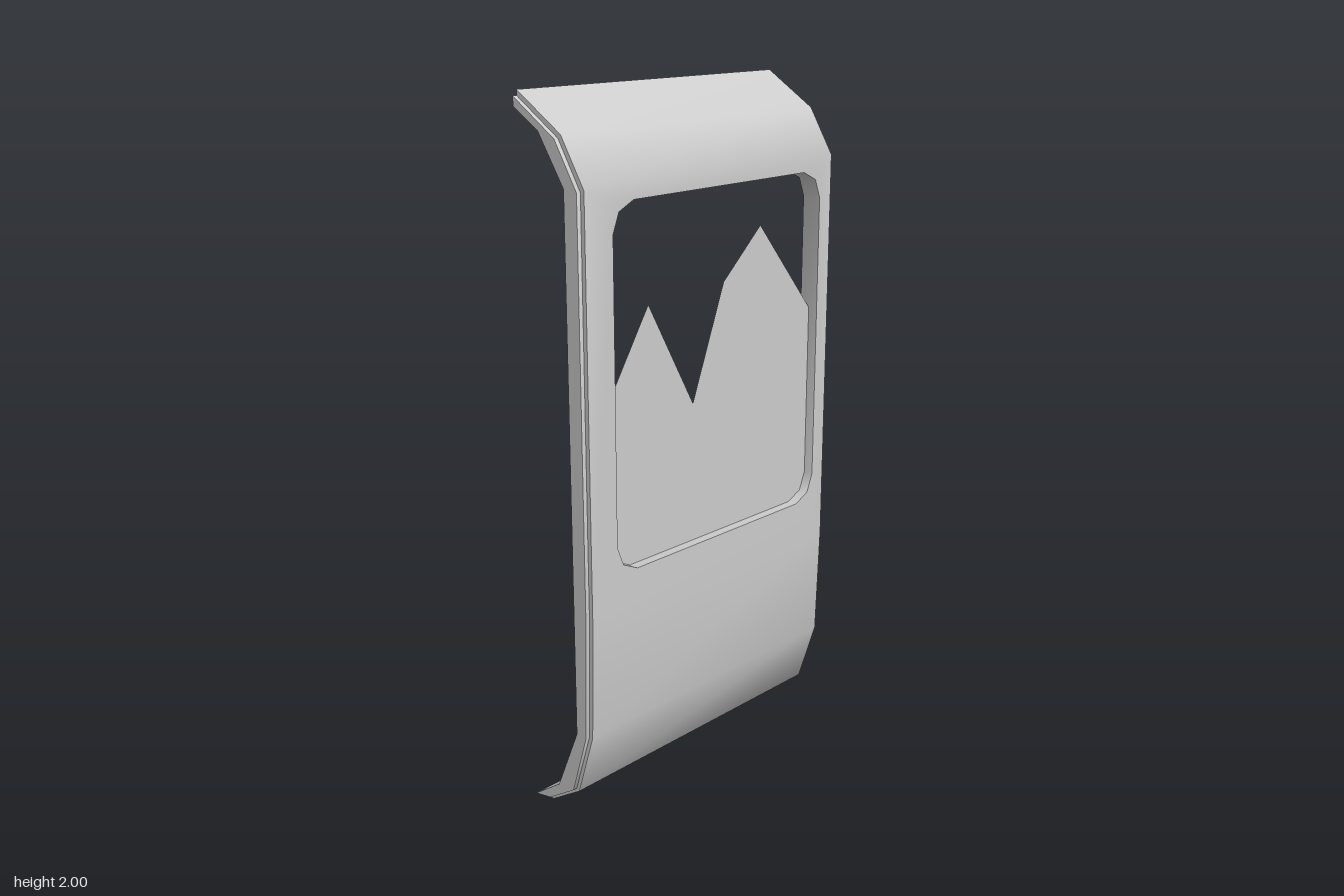
import * as THREE from 'three';
import { mergeGeometries, toCreasedNormals } from 'three/addons/utils/BufferGeometryUtils.js';

const LEFT = 0.5, RIGHT = -0.5, LAP = -0.487;

const polygon = (points) => new THREE.Shape(points.map(([x, y]) => new THREE.Vector2(x, y)));

// Extrude a side profile, given as [z, y] points, between two x positions
function sweepAcross(profile, x0, x1) {
  const shape = polygon(profile.map(([z, y]) => [-z, y]));
  const geo = new THREE.ExtrudeGeometry(shape, { depth: x1 - x0, bevelEnabled: false });
  return geo.rotateY(Math.PI / 2).translate(x0, 0, 0);
}

// Side profiles of the curved ends, front face first
const topFront = [[0.12, 1.77], [0.04, 1.9], [-0.12, 2]];
const topBack = [[-0.12, 1.97], [0.02, 1.905], [0.06, 1.77]];
const bottomFront = [[-0.06, 0], [0.05, 0.07], [0.11, 0.26], [0.12, 0.6]];
const bottomBack = [[0.06, 0.6], [0.06, 0.26], [-0.02, 0.07], [-0.12, 0]];

// Window opening with two-step chamfered corners
const win = { x0: -0.39, x1: 0.45, y0: 0.72, y1: 1.73 };
const cornerSteps = [[0, 0.08], [0.022, 0.025], [0.075, 0]];
const { x0, x1, y0, y1 } = win;
const lowerLeft = cornerSteps.map(([a, b]) => [x0 + a, y0 + b]);
const lowerRight = cornerSteps.map(([a, b]) => [x1 - a, y0 + b]).reverse();
const upperRight = cornerSteps.map(([a, b]) => [x1 - a, y1 - b]);
const upperLeft = cornerSteps.map(([a, b]) => [x0 + a, y1 - b]).reverse();

function panelGeometry() {
  // Flat middle with the window cut out
  const face = polygon([[LAP, 0.6], [LEFT, 0.6], [LEFT, 1.77], [LAP, 1.77]]);
  face.holes.push(polygon([...lowerLeft, ...lowerRight, ...upperRight, ...upperLeft]));
  const middle = new THREE.ExtrudeGeometry(face, { depth: 0.06, bevelEnabled: false });
  middle.translate(0, 0, 0.06);

  // Curved top, whose inner bend thickens towards the lapped edge
  const top = sweepAcross([...topFront, ...topBack], LAP, LEFT);
  const p = top.attributes.position;
  for (let i = 0; i < p.count; i++) {
    if (Math.abs(p.getY(i) - 1.905) < 0.001 && p.getX(i) < 0) p.setZ(i, -0.03);
  }

  const bottom = sweepAcross([...bottomFront, ...bottomBack], LAP, LEFT);
  return toCreasedNormals(mergeGeometries([middle, top, bottom]), Math.PI / 4);
}

// Narrow strip along one edge, set back from the front face
function lapGeometry() {
  const back = [[-0.12, 1.96], [-0.03, 1.905], [0.06, 1.77], ...bottomBack];
  const front = [
    [-0.06, 0.01], [0.04, 0.075], [0.097, 0.26], [0.107, 0.6],
    [0.107, 1.765], [0.03, 1.89], [-0.12, 1.985],
  ];
  return toCreasedNormals(sweepAcross([...front, ...back], RIGHT, LAP), Math.PI / 4);
}

export function createModel() {
  const group = new THREE.Group();
  group.name = 'doorPanel';
  const material = new THREE.MeshStandardMaterial({ color: 0xcccccc });
  const thin = new THREE.MeshStandardMaterial({ color: 0xcccccc, side: THREE.DoubleSide });

  const add = (name, geometry, mat) => {
    const mesh = new THREE.Mesh(geometry, mat);
    mesh.name = name;
    group.add(mesh);
    return mesh;
  };

  add('panel', panelGeometry(), material);
  add('edgeLap', lapGeometry(), material);

  // Broken pane with a jagged upper edge, halfway through the opening
  const jagged = [[x1, 1.32], [0.22, 1.595], [0.065, 1.455], [-0.06, 1.13], [-0.235, 1.44], [x0, 1.195]];
  const pane = new THREE.ShapeGeometry(polygon([...lowerLeft, ...lowerRight, ...jagged]));
  add('brokenPane', pane, thin).position.z = 0.09;

  return group;
}
